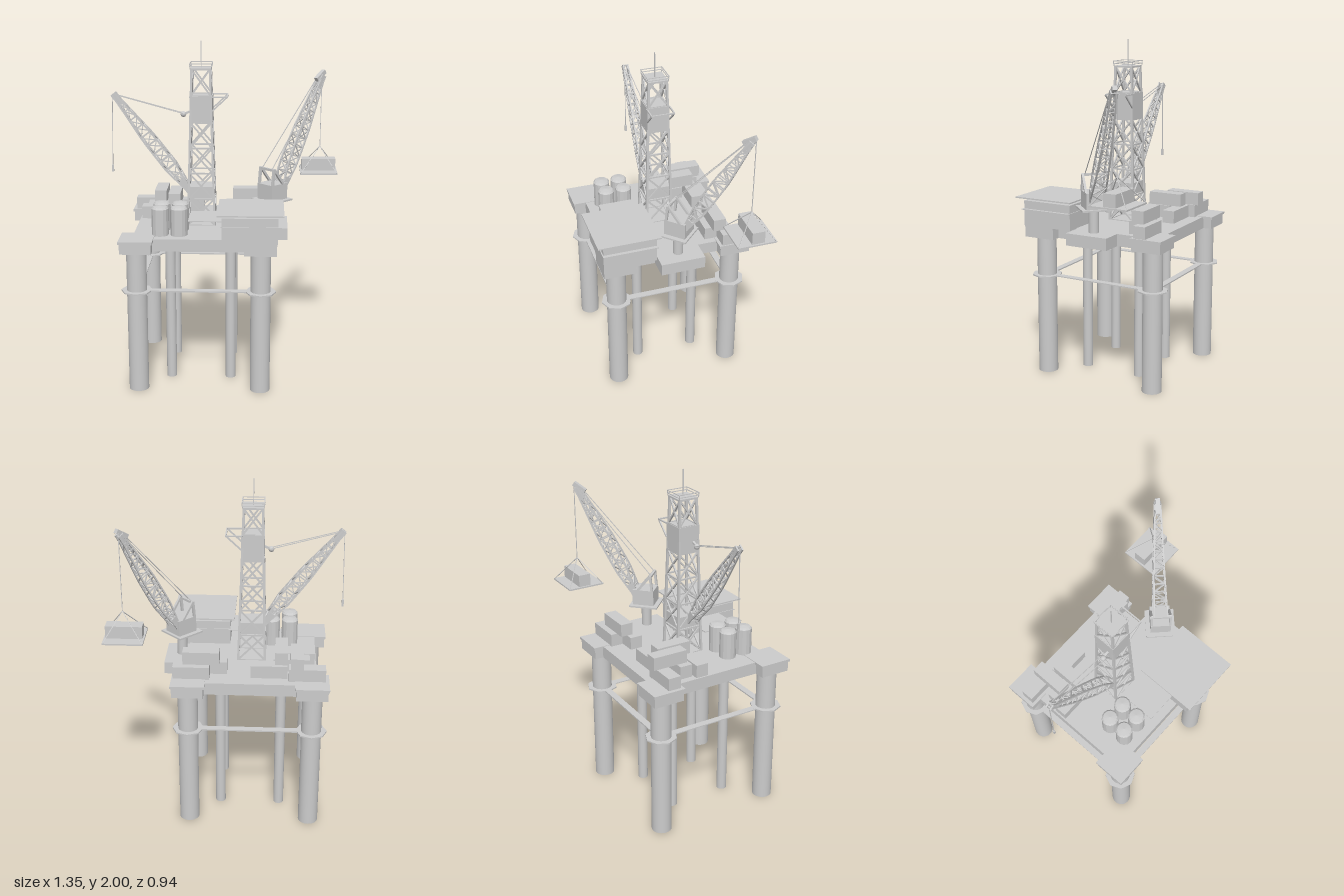
import * as THREE from 'three';
import { mergeGeometries } from 'three/addons/utils/BufferGeometryUtils.js';

const mat = new THREE.MeshStandardMaterial({ color: 0xcccccc, flatShading: true });
const smooth = new THREE.MeshStandardMaterial({ color: 0xcccccc });
const V = (x, y, z) => new THREE.Vector3(x, y, z);

function add(parent, name, geo, material = mat) {
  const m = new THREE.Mesh(geo, material);
  m.name = name;
  parent.add(m);
  return m;
}
// Box given by its limits on each axis
function box(parent, name, x0, x1, y0, y1, z0, z1) {
  const g = new THREE.BoxGeometry(x1 - x0, y1 - y0, z1 - z0);
  g.translate((x0 + x1) / 2, (y0 + y1) / 2, (z0 + z1) / 2);
  return add(parent, name, g);
}
function column(parent, name, x, z, y0, y1, r, sides = 24) {
  const g = new THREE.CylinderGeometry(r, r, y1 - y0, sides);
  g.translate(x, (y0 + y1) / 2, z);
  return add(parent, name, g, sides > 10 ? smooth : mat);
}
// Square bar from a to b
function bar(a, b, t) {
  const d = b.clone().sub(a);
  const g = new THREE.BoxGeometry(t, d.length(), t);
  g.applyQuaternion(new THREE.Quaternion().setFromUnitVectors(V(0, 1, 0), d.normalize()));
  return g.translate((a.x + b.x) / 2, (a.y + b.y) / 2, (a.z + b.z) / 2);
}
function bars(parent, name, pairs, t) {
  return add(parent, name, mergeGeometries(pairs.map(([a, b]) => bar(a, b, t))));
}
const loop = (p) => p.map((a, i) => [a, p[(i + 1) % p.length]]);

// Four-sided lattice through a list of four-corner stations
function lattice(parent, name, stations, chord, brace, crossed) {
  const chords = [], braces = [];
  stations.forEach((s, k) => {
    braces.push(...loop(s));
    const n = stations[k + 1];
    if (!n) return;
    for (let i = 0; i < 4; i++) {
      const j = (i + 1) % 4;
      chords.push([s[i], n[i]]);
      if (crossed || k % 2) braces.push([s[j], n[i]]);
      if (crossed || k % 2 === 0) braces.push([s[i], n[j]]);
    }
  });
  bars(parent, name + 'Chords', chords, chord);
  bars(parent, name + 'Braces', braces, brace);
}
// Crane boom in a plane of constant z, narrowing towards both ends
function boom(parent, name, a, b, depth, w0, w1, bays) {
  const dir = b.clone().sub(a), len = dir.length();
  dir.normalize();
  const n = V(-dir.y, dir.x, 0), st = [];
  for (let k = 0; k <= bays; k++) {
    const t = k / bays, w = w0 + (w1 - w0) * t;
    const h = depth * (0.25 + 0.75 * Math.min(1, t * 4, (1 - t) * 2.2));
    const c = a.clone().addScaledVector(dir, len * t);
    st.push([[1, 1], [1, -1], [-1, -1], [-1, 1]].map(([p, q]) =>
      c.clone().addScaledVector(n, p * h).add(V(0, 0, q * w))));
  }
  lattice(parent, name, st, 0.009, 0.006, false);
  // Solid cheek plates at foot and head
  const ang = Math.atan2(dir.y, dir.x);
  [[0.05, 0.09, w0, 'Foot'], [0.95, 0.08, w1, 'Head']].forEach(([t, l, w, s]) => {
    for (const q of [1, -1]) {
      const p = add(parent, name + s, new THREE.BoxGeometry(l, depth * 1.0, 0.008));
      p.position.copy(a).addScaledVector(dir, len * t).add(V(0, 0, q * w));
      p.rotation.z = ang;
    }
  });
}

export function createModel() {
  const rig = new THREE.Group();
  const CX = -0.146, CZ = -0.02;
  const corners = [[1, 1], [1, -1], [-1, -1], [-1, 1]];

  // Legs, thin conductor legs and collars
  const L = 0.356, RY = 0.61;
  for (const [i, k] of corners) {
    column(rig, 'leg', CX + i * L, CZ + k * L, 0, 0.86, 0.058);
    column(rig, 'thinLeg', CX + i * 0.178, CZ + k * 0.178, 0, 0.86, 0.03, 16);
    column(rig, 'legCollar', CX + i * L, CZ + k * L, RY - 0.004, RY + 0.004, 0.09, 8);
  }
  // Flat tie frame between the legs
  for (const s of [1, -1]) {
    box(rig, 'tieBeam', CX - L, CX + L, RY - 0.004, RY + 0.004, CZ + s * L - 0.02, CZ + s * L + 0.02);
    box(rig, 'tieBeam', CX + s * L - 0.02, CX + s * L + 0.02, RY - 0.003, RY + 0.003, CZ - L, CZ + L);
  }

  // Deck with corner blocks and side bay
  box(rig, 'mainDeck', -0.525, 0.238, 0.85, 0.922, -0.41, 0.354);
  box(rig, 'craneBay', 0.2, 0.365, 0.85, 0.922, -0.16, 0.105);
  for (const [i, k] of corners) {
    const x = CX + i * 0.352, z = CZ + k * 0.352;
    box(rig, 'cornerBlock', x - 0.09, x + 0.09, 0.85, 0.915, z - 0.09, z + 0.09);
    box(rig, 'cornerLid', x - 0.097, x + 0.097, 0.91, 0.925, z - 0.097, z + 0.097);
  }

  // Accommodation block with walkway and landing deck
  box(rig, 'cabin', -0.01, 0.305, 0.92, 1.07, 0.115, 0.43);
  box(rig, 'cabinBase', 0.115, 0.3, 0.85, 0.93, 0.235, 0.428);
  box(rig, 'walkway', -0.205, 0, 1.017, 1.022, 0.1, 0.32);
  box(rig, 'walkwayRim', -0.015, 0.325, 1.017, 1.022, 0.11, 0.436);
  box(rig, 'landingDeck', -0.036, 0.338, 1.087, 1.095, 0.094, 0.467);
  box(rig, 'landingDeckSupport', 0.03, 0.27, 1.07, 1.088, 0.15, 0.4);

  // Storage tanks with shallow domes
  const tank = [[0, 0], [0.049, 0], [0.049, 0.158], [0.04, 0.168], [0, 0.174]];
  for (const x of [-0.37, -0.262]) for (const z of [0.148, 0.256]) {
    const g = new THREE.LatheGeometry(tank.map(([r, y]) => new THREE.Vector2(r, y)), 14);
    add(rig, 'tank', g).position.set(x, 0.92, z);
  }

  // Containers: x0, z0, level, turned
  [[-0.574, -0.368, 0, 0], [-0.448, -0.386, 1, 1], [-0.357, -0.332, 0, 0], [-0.357, -0.31, 1, 1],
    [-0.485, -0.24, 0, 0], [-0.516, -0.155, 0, 0], [0.087, -0.368, 0, 0], [0.032, -0.33, 1, 0],
    [-0.01, -0.291, 0, 0]].forEach(([x, z, lv, turned]) => {
    const y = 0.922 + lv * 0.075;
    box(rig, 'container', x, x + (turned ? 0.073 : 0.209), y, y + 0.075, z, z + (turned ? 0.209 : 0.075));
  });

  // Derrick tower
  const tower = new THREE.Group();
  tower.name = 'derrick';
  tower.position.set(CX, 0, CZ);
  rig.add(tower);
  const half = (y) => 0.079 - 0.026 * (y - 0.922) / 0.92;
  const square = (y, h = half(y)) => corners.map(([i, k]) => V(i * h, y, k * h));
  const levels = [0.922, 1.08, 1.235, 1.385, 1.535, 1.69, 1.842];
  lattice(tower, 'tower', levels.map((y) => square(y)), 0.013, 0.009, true);
  box(tower, 'towerCladding', -0.066, 0.066, 1.535, 1.69, -0.066, 0.066);
  box(tower, 'drillFloor', -0.07, 0.07, 1.085, 1.155, -0.07, 0.07);
  box(tower, 'crownPlate', -0.06, 0.06, 1.838, 1.848, -0.06, 0.06);
  bars(tower, 'crownRail', [...loop(square(1.875, 0.063)), ...loop(square(1.86, 0.063)),
    ...square(1.845, 0.06).map((p, i) => [p, square(1.875, 0.063)[i]])], 0.004);
  bars(tower, 'antenna', [[V(0, 1.84, 0), V(0, 2, 0)]], 0.005);
  // Side bracket
  const br = [];
  for (const z of [-0.067, 0.067]) {
    br.push([V(0.06, 1.685, z), V(0.152, 1.685, z)], [V(0.152, 1.685, z), V(0.066, 1.605, z)]);
  }
  br.push([V(0.152, 1.685, -0.067), V(0.152, 1.685, 0.067)]);
  bars(tower, 'sideBracket', br, 0.008);

  // Tower boom with stays and hook
  const Z = 0.007, tip = V(-0.655, 1.695, Z);
  boom(rig, 'towerBoom', V(-0.215, 1.125, Z), tip, 0.035, 0.034, 0.014, 12);
  add(rig, 'stayPulley', new THREE.SphereGeometry(0.017, 12, 8), smooth).position.set(-0.25, 1.58, Z);
  bars(rig, 'towerBoomStays', [-1, 1].map((s) => [tip.clone().add(V(0, 0, s * 0.01)), V(-0.25, 1.585, Z + s * 0.014)]), 0.004);
  bars(rig, 'pulleyArm', [[V(-0.25, 1.58, Z), V(-0.2, 1.6, Z)]], 0.012);
  bars(rig, 'hookCable', [[V(-0.663, 1.69, Z), V(-0.672, 1.27, Z)]], 0.004);
  box(rig, 'hook', -0.678, -0.666, 1.235, 1.275, Z - 0.006, Z + 0.006);

  // Pedestal crane, turned to its load
  const crane = new THREE.Group();
  crane.name = 'pedestalCrane';
  crane.position.set(0.27, 0, -0.025);
  crane.rotation.y = Math.PI / 4;
  rig.add(crane);
  column(crane, 'pedestal', 0, 0, 0.92, 1.065, 0.03, 16);
  box(crane, 'turntable', -0.087, 0.087, 1.06, 1.07, -0.087, 0.087);
  box(crane, 'craneHouse', -0.06, 0.07, 1.07, 1.165, -0.06, 0.06);
  const head = V(0.42, 1.765, 0), frame = [];
  for (const z of [-0.055, 0.055]) {
    frame.push([V(-0.05, 1.16, z), V(-0.04, 1.26, z)], [V(0.04, 1.16, z), V(-0.04, 1.26, z)]);
  }
  frame.push([V(-0.04, 1.255, -0.06), V(-0.04, 1.255, 0.06)]);
  bars(crane, 'backFrame', frame, 0.014);
  boom(crane, 'craneBoom', V(0.055, 1.12, 0), head, 0.037, 0.04, 0.016, 13);
  bars(crane, 'craneStays', [-1, 1].map((s) => [V(-0.04, 1.26, s * 0.04), V(0.41, 1.775, s * 0.014)]), 0.004);
  bars(crane, 'boomHead', [[V(0.37, 1.745, 0), V(0.44, 1.79, 0)]], 0.026);

  // Suspended pallet with container
  const px = 0.559, pz = -0.342, eye = V(px + 0.008, 1.325, pz);
  bars(rig, 'loadCable', [[V(px + 0.01, 1.78, pz), eye]], 0.004);
  bars(rig, 'slings', corners.map(([i, k]) => [eye, V(px + i * 0.111, 1.175, pz + k * 0.111)]), 0.004);
  box(rig, 'pallet', px - 0.114, px + 0.114, 1.168, 1.177, pz - 0.114, pz + 0.114);
  box(rig, 'hangingContainer', px - 0.104, px + 0.104, 1.175, 1.25, pz - 0.045, pz + 0.03);
  return rig;
}
